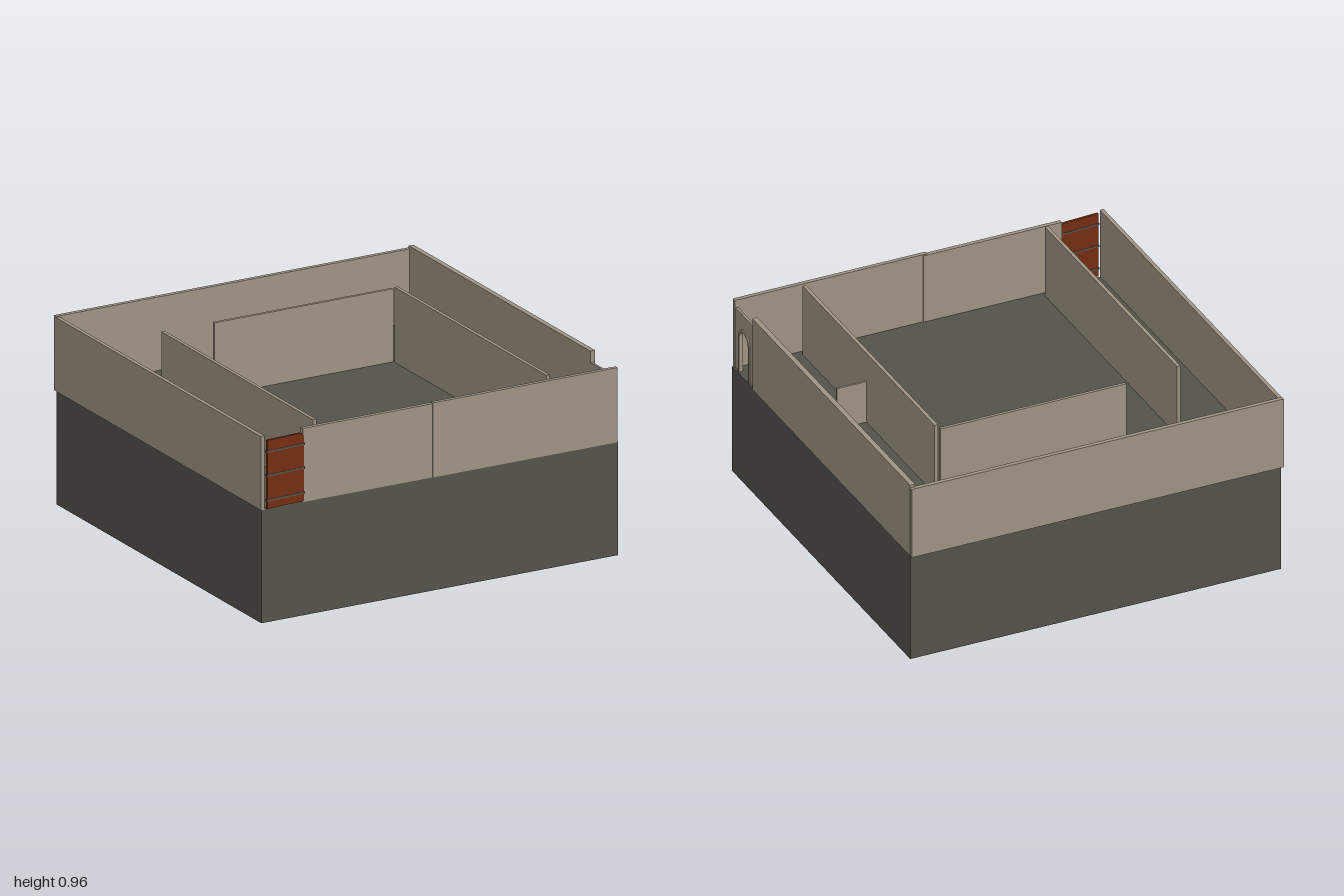
import * as THREE from 'three';

const FLOOR = 0.577, WALL_BOTTOM = 0.571;

function material(name, color, side = THREE.FrontSide) {
  const m = new THREE.MeshStandardMaterial({ color, side });
  m.name = name;
  return m;
}

export function createModel() {
  const plaster = material('plaster', 0x9f9485);
  const stone = material('dark stone', 0x53524a, THREE.DoubleSide);
  const wood = material('red wood', 0x742d11);

  const model = new THREE.Group();
  model.name = 'walledBuilding';

  function add(name, geometry, mat, parent = model) {
    const mesh = new THREE.Mesh(geometry, mat);
    mesh.name = name;
    parent.add(mesh);
    return mesh;
  }

  // Box given by its limits on each axis
  function block(name, [x0, x1], [y0, y1], [z0, z1], mat = plaster, parent = model) {
    const g = new THREE.BoxGeometry(x1 - x0, y1 - y0, z1 - z0);
    g.translate((x0 + x1) / 2, (y0 + y1) / 2, (z0 + z1) / 2);
    return add(name, g, mat, parent);
  }

  // Hollow base: a box without its bottom face, its top being the floor
  const base = new THREE.BoxGeometry(1.955, FLOOR, 1.955);
  const faces = Array.from(base.index.array);
  faces.splice(18, 6);
  base.setIndex(faces);
  base.clearGroups();
  base.translate(0, FLOOR / 2, 0);
  add('base', base, stone);

  // Outer walls, with gaps for the door and the archway
  const B = WALL_BOTTOM;
  block('backWall', [-0.98, 0.98], [B, 0.947], [-1, -0.978]);
  block('leftSideWall', [-0.982, -0.962], [B, 0.943], [-0.978, 0.982]);
  block('rightSideWall', [0.955, 0.981], [B, 0.962], [-0.984, 0.75]);
  block('frontWallA', [-0.75, -0.02], [B, 0.942], [0.957, 0.979]);
  block('frontWallB', [-0.04, 0.972], [B, 0.947], [0.961, 0.982]);

  // Inner partitions
  for (const x of [-0.657, 0.62])
    block('sidePartition', [x - 0.009, x + 0.009], [B, 0.956], [-0.52, 0.93]);
  block('backPartition', [-0.37, 0.61], [B, 0.945], [-0.545, -0.529]);
  block('stubPartition', [0.629, 0.785], [B, 0.8], [0.23, 0.241]);

  // Round-topped outline around the archway's middle
  const ARCH_Z = 0.865;
  function arch(PathType, half, spring, bottom) {
    const p = new PathType();
    p.moveTo(-ARCH_Z - half, bottom);
    p.lineTo(-ARCH_Z + half, bottom);
    p.lineTo(-ARCH_Z + half, spring);
    p.absarc(-ARCH_Z, spring, half, 0, Math.PI, false);
    p.lineTo(-ARCH_Z - half, bottom);
    return p;
  }

  // Extrude a shape drawn in (-z, y) outward along +x
  function extrudeAcross(shape, x, depth) {
    const g = new THREE.ExtrudeGeometry(shape, { depth, bevelEnabled: false, curveSegments: 10 });
    g.rotateY(Math.PI / 2);
    g.translate(x, 0, 0);
    return g;
  }

  // Lower archway panel in the right wall and the moulding around its opening
  const panel = new THREE.Shape();
  panel.moveTo(-0.978, B);
  panel.lineTo(-0.75, B);
  panel.lineTo(-0.75, 0.905);
  panel.lineTo(-0.978, 0.905);
  panel.closePath();
  panel.holes.push(arch(THREE.Path, 0.05, 0.765, B + 0.002));
  add('archPanel', extrudeAcross(panel, 0.955, 0.012), plaster);

  const moulding = arch(THREE.Shape, 0.061, 0.767, 0.565);
  moulding.holes.push(arch(THREE.Path, 0.049, 0.765, 0.567));
  add('archMoulding', extrudeAcross(moulding, 0.952, 0.021), plaster);

  // Slanted reveal joining the panel to the thicker wall
  const wedge = new THREE.Shape([
    new THREE.Vector2(0.958, -0.75),
    new THREE.Vector2(0.958, -0.785),
    new THREE.Vector2(0.98, -0.75),
  ]);
  const reveal = new THREE.ExtrudeGeometry(wedge, { depth: 0.905 - B, bevelEnabled: false });
  reveal.rotateX(-Math.PI / 2);
  reveal.translate(0, B, 0);
  add('archReveal', reveal, plaster);

  // Slightly ajar wooden door with one rounded top corner and three bands
  const door = new THREE.Group();
  door.name = 'door';
  door.position.set(-0.851, 0, 0.984);
  door.rotation.y = 0.06;
  model.add(door);
  const leaf = new THREE.Shape();
  leaf.moveTo(-0.105, 0.578);
  leaf.lineTo(0.105, 0.578);
  leaf.lineTo(0.105, 0.895);
  leaf.quadraticCurveTo(0.103, 0.923, 0.075, 0.923);
  leaf.lineTo(-0.105, 0.923);
  leaf.closePath();
  const leafGeometry = new THREE.ExtrudeGeometry(leaf, { depth: 0.012, bevelEnabled: false });
  leafGeometry.translate(0, 0, -0.006);
  add('doorLeaf', leafGeometry, wood, door);
  for (const y of [0.62, 0.745, 0.865])
    block('doorBand', [-0.108, 0.108], [y - 0.005, y + 0.005], [-0.008, 0.008], stone, door);

  return model;
}
